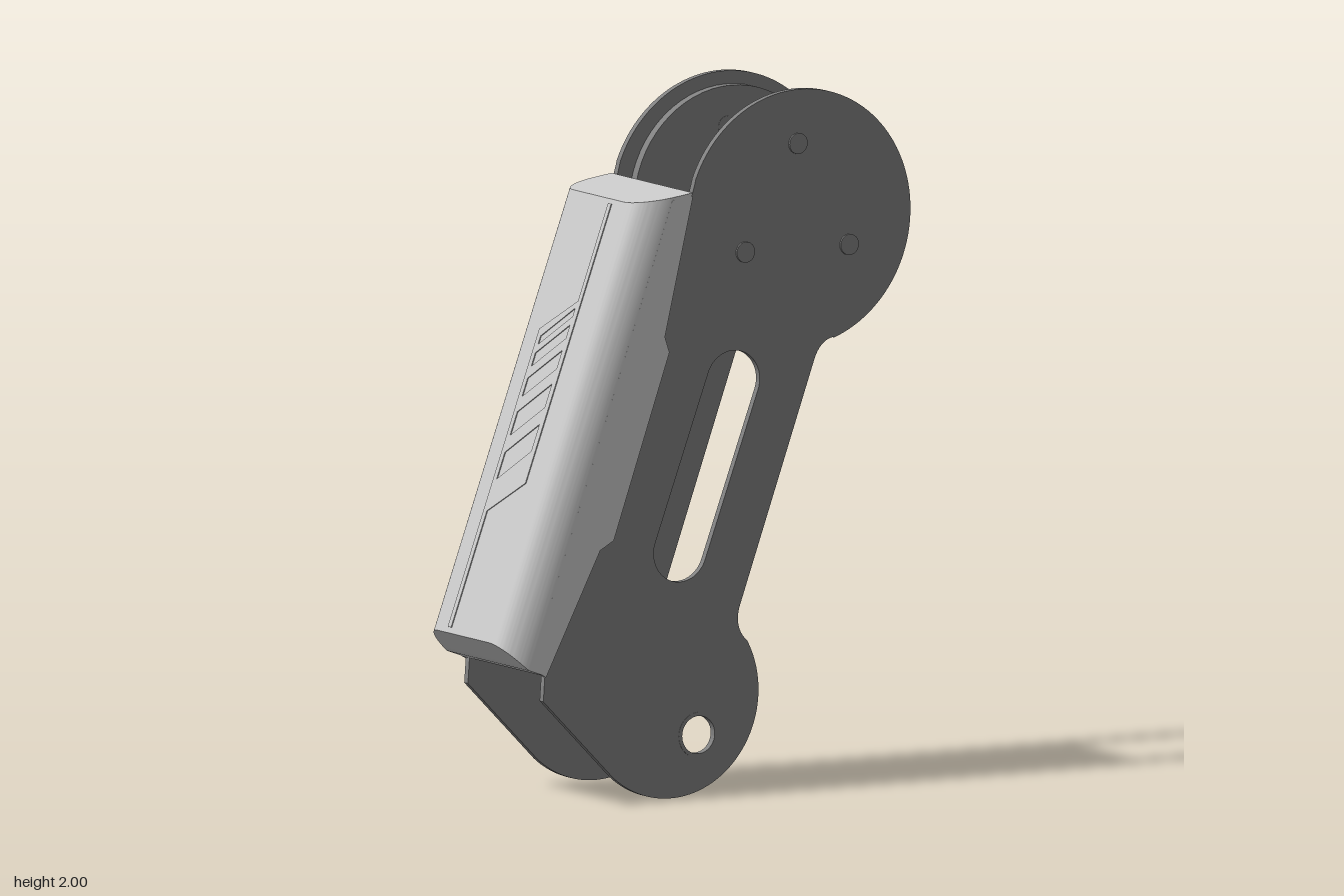
import * as THREE from 'three';
import { toCreasedNormals } from 'three/addons/utils/BufferGeometryUtils.js';

const dark = new THREE.MeshStandardMaterial({ color: 0x808080 });
const light = new THREE.MeshStandardMaterial({ color: 0xcccccc });

function add(parent, name, geometry, material, x = 0, y = 0, z = 0) {
  const mesh = new THREE.Mesh(geometry, material);
  mesh.name = name;
  mesh.position.set(x, y, z);
  parent.add(mesh);
  return mesh;
}

function extrude(shape, depth, curveSegments = 32) {
  const g = new THREE.ExtrudeGeometry(shape, { depth, bevelEnabled: false, curveSegments });
  return toCreasedNormals(g, 0.5);
}

const polygon = (pts) => new THREE.Shape(pts.map(([x, y]) => new THREE.Vector2(x, y)));

// Cylinder whose axis runs along z
const disc = (r, depth, sides = 32) => new THREE.CylinderGeometry(r, r, depth, sides).rotateX(Math.PI / 2);

// Stepped edge where the cover meets the plate, top to bottom
const seam = [[-0.052, 1.72], [-0.145, 1.325], [-0.13, 1.28], [-0.315, 0.755], [-0.36, 0.73], [-0.54, 0.38]];

// Side plate outline with the long slot and the pivot hole
function plateShape() {
  const s = new THREE.Shape();
  s.moveTo(-0.32, 0.085);
  s.absarc(-0.12, 0.29, 0.29, -2.306, 0.51, false);
  s.quadraticCurveTo(0.085, 0.475, 0.11, 0.54);
  s.lineTo(0.355, 1.22);
  s.quadraticCurveTo(0.375, 1.275, 0.42, 1.281);
  s.absarc(0.305, 1.63, 0.37, -1.252, 2.758, false);
  s.quadraticCurveTo(-0.045, 1.74, -0.052, 1.72);
  seam.slice(1).forEach(([x, y]) => s.lineTo(x, y));
  s.lineTo(-0.545, 0.31);
  const slot = new THREE.Path();
  const tilt = -0.351;
  slot.absarc(0.086, 1.18, 0.088, tilt, tilt + Math.PI, false);
  slot.absarc(-0.09, 0.706, 0.088, tilt + Math.PI, tilt + 2 * Math.PI, false);
  slot.closePath();
  const hole = new THREE.Path();
  hole.absarc(-0.03, 0.175, 0.06, 0, Math.PI * 2, true);
  s.holes.push(slot, hole);
  return s;
}

// Cover body: rounded section extruded along the arm, ends cut at a slant
function coverGeometry() {
  const s = new THREE.Shape();
  const w = 0.222, d = 0.16, rx = 0.11, rz = 0.085;
  s.moveTo(0, w);
  s.lineTo(-(d - rx), w);
  s.absellipse(-(d - rx), w - rz, rx, rz, Math.PI / 2, Math.PI, false, 0);
  s.lineTo(-d, -(w - rz));
  s.absellipse(-(d - rx), -(w - rz), rx, rz, Math.PI, Math.PI * 1.5, false, 0);
  s.lineTo(0, -w);
  s.closePath();
  const g = new THREE.ExtrudeGeometry(s, { depth: 1, bevelEnabled: false, curveSegments: 16 });
  g.rotateX(-Math.PI / 2);
  const p = g.attributes.position;
  for (let i = 0; i < p.count; i++) {
    const depth = -p.getX(i);
    const bottom = Math.max(0, (depth - 0.057) * 0.42);
    const top = 1.434 - depth * 0.52;
    p.setY(i, p.getY(i) > 0.5 ? top : bottom);
  }
  return toCreasedNormals(g, 0.5);
}

// Thin stepped trim with slanted vents; shape x runs along the arm, shape y across it
function trimGeometry() {
  const s = polygon([[0.06, -0.088], [0.944, -0.088], [1.046, 0.065], [1.337, 0.065],
    [1.337, 0.082], [0.508, 0.082], [0.406, -0.07], [0.06, -0.07]]);
  for (const [a, b] of [[0.5, 0.58], [0.63, 0.7], [0.745, 0.8], [0.835, 0.875], [0.9, 0.925]]) {
    const vent = polygon([[a, -0.07], [a + 0.1, 0.062], [b + 0.1, 0.062], [b, -0.07]]);
    s.holes.push(new THREE.Path(vent.getPoints()));
  }
  const g = extrude(s, 0.004);
  // along -> y, across -> z, thickness -> x
  return g.applyMatrix4(new THREE.Matrix4().set(0, 0, 1, 0, 1, 0, 0, 0, 0, 1, 0, 0, 0, 0, 0, 1));
}

export function createModel() {
  const model = new THREE.Group();
  model.name = 'armLink';

  const plate = extrude(plateShape(), 0.02, 40);
  const flap = extrude(polygon([...seam, [-0.59, 0.41], [-0.12, 1.715]].reverse()), 0.014);
  const bush = new THREE.Shape().absarc(0, 0, 0.065, 0, Math.PI * 2, false);
  bush.holes.push(new THREE.Path().absarc(0, 0, 0.054, 0, Math.PI * 2, true));
  const bushing = extrude(bush, 0.022);

  // Matching sides
  for (const side of [1, -1]) {
    const group = new THREE.Group();
    group.name = side > 0 ? 'frontSide' : 'backSide';
    const at = (inner, depth) => (side > 0 ? inner : -inner - depth);
    add(group, 'sidePlate', plate, dark, 0, 0, at(0.195, 0.02));
    add(group, 'coverFlap', flap, light, 0, 0, at(0.208, 0.014));
    add(group, 'pivotBushing', bushing, dark, -0.03, 0.175, at(0.194, 0.022));
    add(group, 'jointDisc', disc(0.322, 0.03, 64), dark, 0.312, 1.64, side * 0.182);
    for (const [x, y] of [[0.125, 1.547], [0.3, 1.845], [0.47, 1.542]]) {
      add(group, 'jointBolt', disc(0.03, 0.055, 24), dark, x, y, side * 0.1935);
    }
    model.add(group);
  }

  // Tilted cover between the plates
  const cover = new THREE.Group();
  cover.name = 'coverAssembly';
  cover.position.set(-0.545, 0.385, 0);
  cover.rotation.z = -0.351;
  add(cover, 'coverBody', coverGeometry(), light);
  add(cover, 'coverTrim', trimGeometry(), light, -0.163, 0, 0);
  add(cover, 'innerPanel', new THREE.BoxGeometry(0.012, 1.41, 0.4), dark, 0.004, 0.705, 0);

  // Panel screws: [height, z]
  const screws = [[1.65, 0.07], [1.65, -0.07], [1.57, 0.15], [1.57, -0.145], [1.165, 0.135], [1.165, -0.135],
    [0.92, 0.135], [0.92, -0.135], [0.685, 0.185], [0.685, -0.185], [0.61, 0.14],
    [0.465, 0.09], [0.465, -0.085], [0.475, -0.14]];
  const screw = new THREE.CylinderGeometry(0.014, 0.014, 0.012, 16).rotateZ(Math.PI / 2);
  for (const [y, z] of screws) add(cover, 'panelScrew', screw, dark, 0.011, (y - 0.385) / 0.939, z);
  model.add(cover);

  return model;
}
